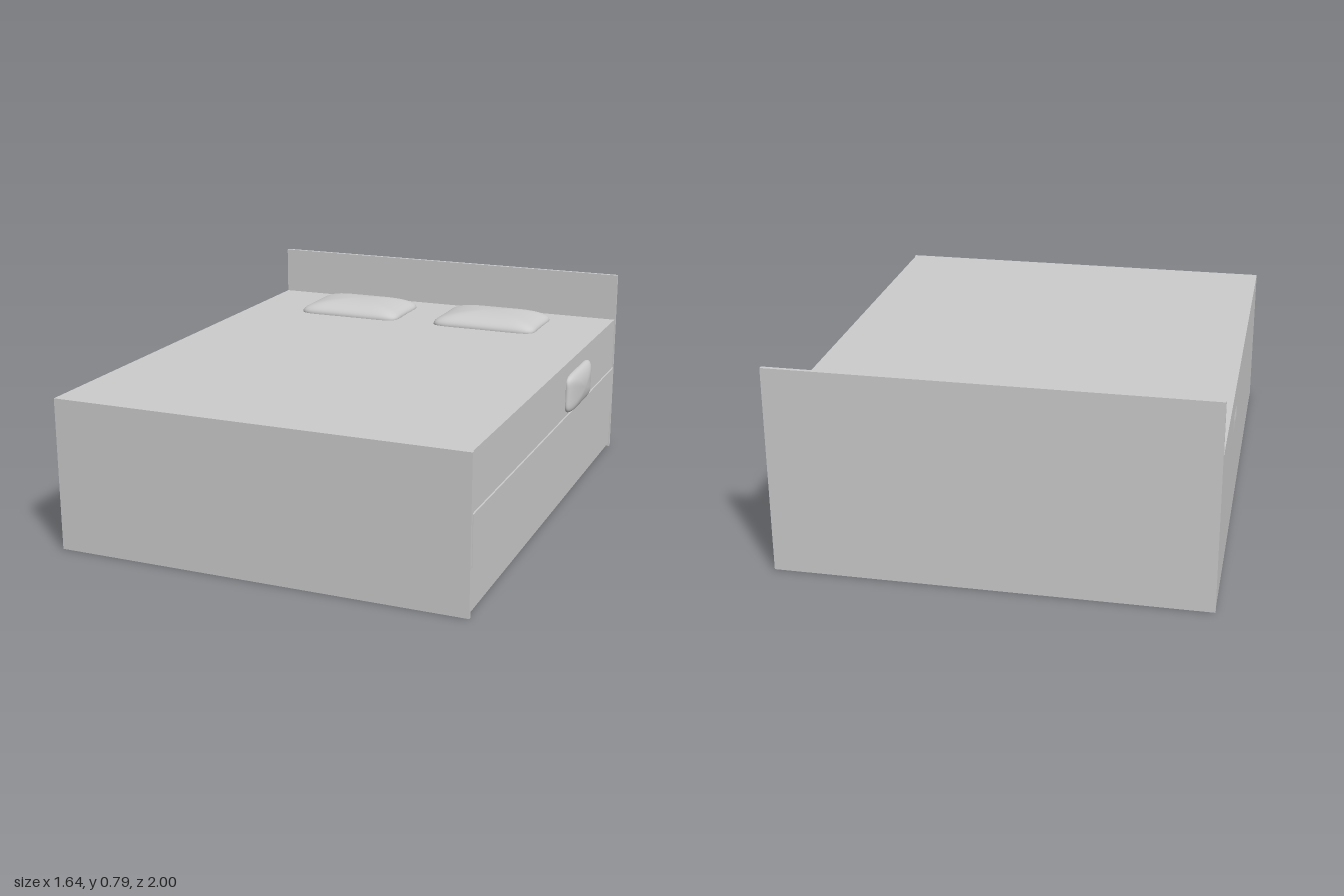
import * as THREE from 'three';
import { mergeVertices } from 'three/addons/utils/BufferGeometryUtils.js';

const material = new THREE.MeshStandardMaterial({ color: 0xcccccc });

// Box given by its lower and upper corners
function slab(name, [x0, y0, z0], [x1, y1, z1]) {
  const mesh = new THREE.Mesh(new THREE.BoxGeometry(x1 - x0, y1 - y0, z1 - z0), material);
  mesh.name = name;
  mesh.position.set((x0 + x1) / 2, (y0 + y1) / 2, (z0 + z1) / 2);
  return mesh;
}

// Cushion: a sphere squared off in plan, with edges drawn in between the corners
function cushion(name, halfX, height, halfZ, squareness, pinch) {
  const geo = new THREE.SphereGeometry(1, 72, 28);
  const p = geo.attributes.position;
  const square = (v) => Math.sign(v) * Math.abs(v) ** squareness;
  for (let i = 0; i < p.count; i++) {
    const y = p.getY(i);
    const r = Math.hypot(p.getX(i), p.getZ(i)) || 1e-6;
    const u = square(p.getX(i) / r) * r;
    const v = square(p.getZ(i) / r) * r;
    p.setXYZ(i,
      halfX * u * (1 - pinch * (1 - v * v)),
      height * Math.sign(y) * Math.abs(y) ** 0.95,
      halfZ * v * (1 - pinch * (1 - u * u)));
  }
  geo.deleteAttribute('uv');
  geo.deleteAttribute('normal');
  const smooth = mergeVertices(geo, 1e-5);
  smooth.computeVertexNormals();
  const mesh = new THREE.Mesh(smooth, material);
  mesh.name = name;
  return mesh;
}

export function createModel() {
  const bed = new THREE.Group();
  bed.name = 'bed';
  const left = 0.785, right = -0.82;

  // Bed block between the two end panels
  bed.add(slab('bedBody', [right, 0.015, -0.985], [left - 0.004, 0.59, 0.985]));
  bed.add(slab('headboard', [right, 0, -1], [left, 0.79, -0.985]));
  bed.add(slab('footPanel', [right, 0, 0.985], [left, 0.59, 1]));

  // Slightly raised rail along the left side
  bed.add(slab('sideRail', [left - 0.02, 0.178, -0.985], [left + 0.002, 0.37, 0.985]));

  // Crossed support under the middle
  const mid = (left + right) / 2;
  bed.add(slab('supportBarLong', [mid - 0.29, 0, -0.018], [mid + 0.29, 0.015, -0.002]));
  bed.add(slab('supportBarShort', [mid - 0.008, 0, -0.11], [mid + 0.008, 0.015, 0.09]));

  // Two pillows sunk into the top
  for (const x of [-0.34, 0.29]) {
    const pillow = cushion('pillow', 0.237, 0.055, 0.165, 0.3, 0.035);
    pillow.position.set(x, 0.592, -0.74);
    bed.add(pillow);
  }

  // Small cushions bulging out of the sides, the right one barely showing
  for (const [name, x, y] of [['leftSideCushion', left, 0.456], ['rightSideCushion', right + 0.032, 0.45]]) {
    const side = cushion(name, 0.079, 0.036, 0.174, 0.35, 0.02);
    side.rotation.z = -Math.PI / 2;
    side.position.set(x, y, -0.348);
    bed.add(side);
  }
  return bed;
}
